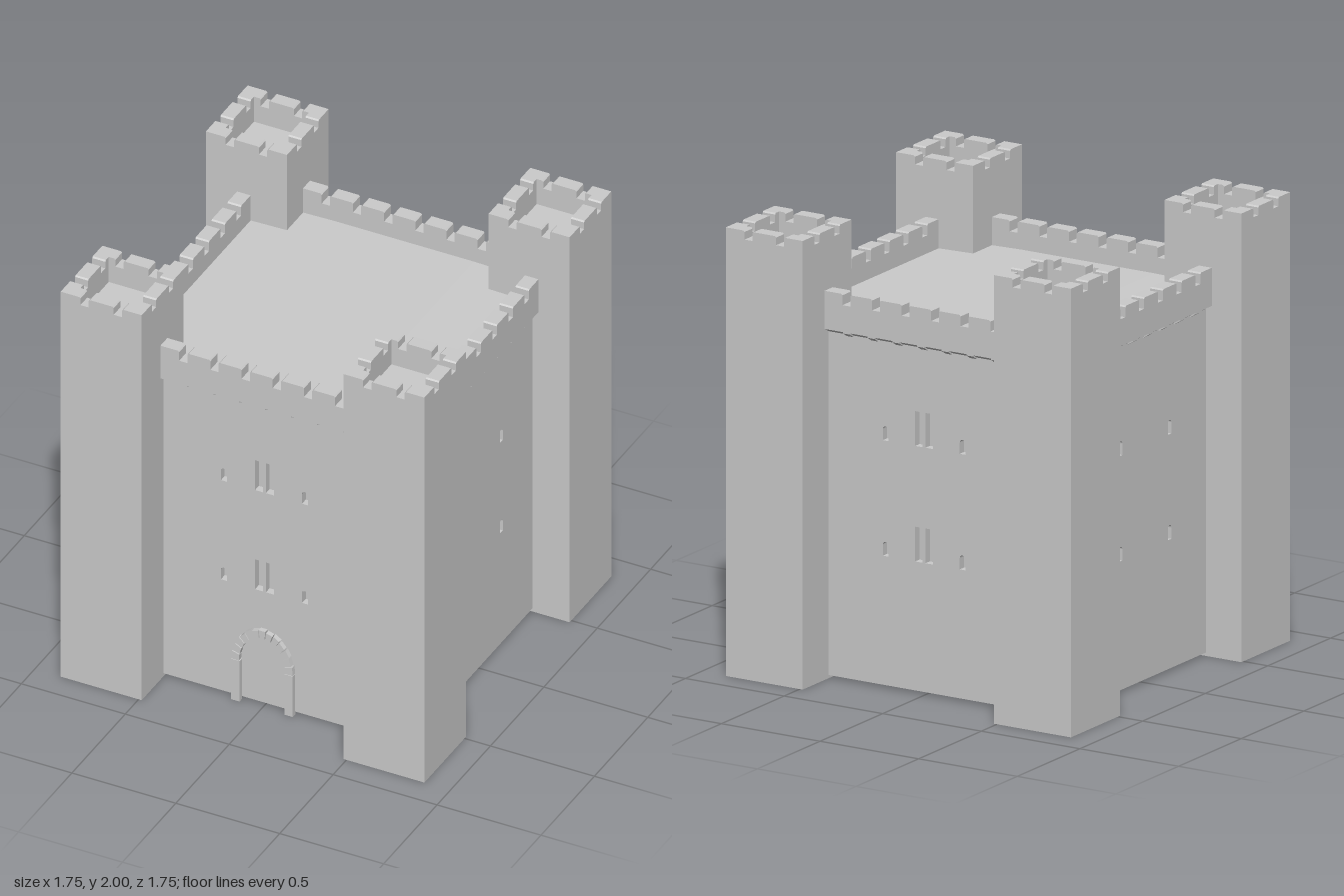
import * as THREE from 'three';

const material = new THREE.MeshStandardMaterial({ color: 0xcccccc, flatShading: true });

function add(parent, name, geometry, x = 0, y = 0, z = 0) {
  const mesh = new THREE.Mesh(geometry, material);
  mesh.name = name;
  mesh.position.set(x, y, z);
  parent.add(mesh);
  return mesh;
}

const extrude = (shape, depth) =>
  new THREE.ExtrudeGeometry(shape, { depth, bevelEnabled: false, curveSegments: 6 });

const polygon = (points) => new THREE.Shape(points.map(([x, y]) => new THREE.Vector2(x, y)));

// Upright wall, its outer face on z = 0, with chamfered gaps along the top
function battlement(length, thickness, base, top, gapDepth, gaps, gapWidth) {
  const h = length / 2, w = gapWidth / 2, c = 0.006;
  const points = [[-h, base], [h, base], [h, top]];
  for (const g of [...gaps].reverse()) {
    points.push([g + w + c, top], [g + w, top - c], [g + w, top - gapDepth],
      [g - w, top - gapDepth], [g - w, top - c], [g - w - c, top]);
  }
  points.push([-h, top]);
  return extrude(polygon(points), thickness).translate(0, 0, -thickness);
}

// Window openings as paths
function rectHole(x, y, w, h) {
  const p = new THREE.Path();
  p.moveTo(x - w / 2, y).lineTo(x + w / 2, y).lineTo(x + w / 2, y + h).lineTo(x - w / 2, y + h);
  p.closePath();
  return p;
}

function slitHole(x, y) {
  const r = 0.014, p = new THREE.Path();
  p.moveTo(x - r, y).lineTo(x + r, y).lineTo(x + r, y + 0.05);
  p.absarc(x, y + 0.05, r, 0, Math.PI, false);
  p.closePath();
  return p;
}

// One side of the keep, built facing +z with the parapet face on z = 0
function createSide(name, withPairs) {
  const side = new THREE.Group();
  side.name = name;

  // Facing wall with recessed windows
  const wall = polygon([[-0.6, 0.015], [0.6, 0.015], [0.6, 1.56], [-0.6, 1.56]]);
  const rows = withPairs ? [0.59, 1.105] : [0.59, 1.06];
  for (const y of rows) {
    for (const s of [-1, 1]) {
      wall.holes.push(slitHole(s * 0.195, y));
      if (withPairs) wall.holes.push(rectHole(s * 0.026, y, 0.038, 0.155));
    }
  }
  add(side, 'windowWall', extrude(wall, 0.035), 0, 0, -0.065);

  // Parapet
  const gaps = [-0.375, -0.225, -0.075, 0.075, 0.225, 0.375];
  add(side, 'parapet', battlement(1.04, 0.065, 1.565, 1.735, 0.05, gaps, 0.04));

  // Sloping cornice under the parapet, with small corbels
  const wedge = (length, drop) =>
    extrude(polygon([[-0.04, 1.57], [-0.04, 1.548 - drop], [-0.03, 1.548 - drop], [0, 1.567 - drop], [0, 1.57]]), length)
      .translate(0, 0, -length / 2).rotateY(-Math.PI / 2);
  add(side, 'cornice', wedge(1.04, 0));
  for (let i = -3; i <= 3; i++) add(side, 'corbel', wedge(0.035, 0.008), (i + 0.5) * 0.125 - 0.0625, 0, -0.001);
  return side;
}

// Square corner tower with a sunken, battlemented top
function createTower(x, z) {
  const tower = new THREE.Group();
  tower.name = 'cornerTower';
  tower.position.set(x, 0, z);
  const w = 0.39, t = 0.063, floor = 1.87;
  add(tower, 'towerShaft', new THREE.BoxGeometry(w, floor, w), 0, floor / 2, 0);
  for (let i = 0; i < 4; i++) {
    const length = i % 2 ? w - 2 * t : w;
    const wall = add(tower, 'towerBattlement', battlement(length, t, floor, 2, 0.04, [-0.08, 0.08], 0.04));
    const a = i * Math.PI / 2;
    wall.rotation.y = a;
    wall.position.set(Math.sin(a) * w / 2, 0, Math.cos(a) * w / 2);
  }
  return tower;
}

// Stone door surround: two posts and an arch of wedge-shaped stones
function createDoorway() {
  const door = new THREE.Group();
  door.name = 'doorway';
  const depth = 0.025, spring = 0.21, count = 13;
  for (const s of [-1, 1])
    add(door, 'doorPost', new THREE.BoxGeometry(0.04, spring, depth), s * 0.128, spring / 2, depth / 2);
  const at = (a, rx, ry) => [Math.cos(a) * rx, spring + Math.sin(a) * ry];
  for (let i = 0; i < count; i++) {
    const a = (i + 0.06) / count * Math.PI, b = (i + 0.94) / count * Math.PI;
    const grow = i % 2 ? 0 : 0.004;
    const stone = polygon([at(a, 0.112, 0.15), at(a, 0.144 + grow, 0.187 + grow),
      at(b, 0.144 + grow, 0.187 + grow), at(b, 0.112, 0.15)]);
    add(door, 'archStone', extrude(stone, depth));
  }
  return door;
}

export function createModel() {
  const castle = new THREE.Group();
  castle.name = 'castle';

  // Solid core, its roof rising very slightly to a flat middle
  const core = polygon([[-0.66, 0.015], [0.66, 0.015], [0.66, 1.605], [0.337, 1.613], [-0.337, 1.613], [-0.66, 1.605]]);
  add(castle, 'keepCore', extrude(core, 1.27), 0, 0, -0.635);

  // Four sides
  const names = ['frontSide', 'leftSide', 'backSide', 'rightSide'];
  names.forEach((name, i) => {
    const side = createSide(name, i % 2 === 0);
    const a = i * Math.PI / 2, d = i % 2 ? 0.725 : 0.7;
    side.rotation.y = a;
    side.position.set(Math.sin(a) * d, 0, Math.cos(a) * d);
    castle.add(side);
  });

  // Corner towers
  for (const x of [-0.68, 0.68]) for (const z of [-0.68, 0.68]) castle.add(createTower(x, z));

  const door = createDoorway();
  door.position.z = 0.668;
  castle.add(door);
  return castle;
}
